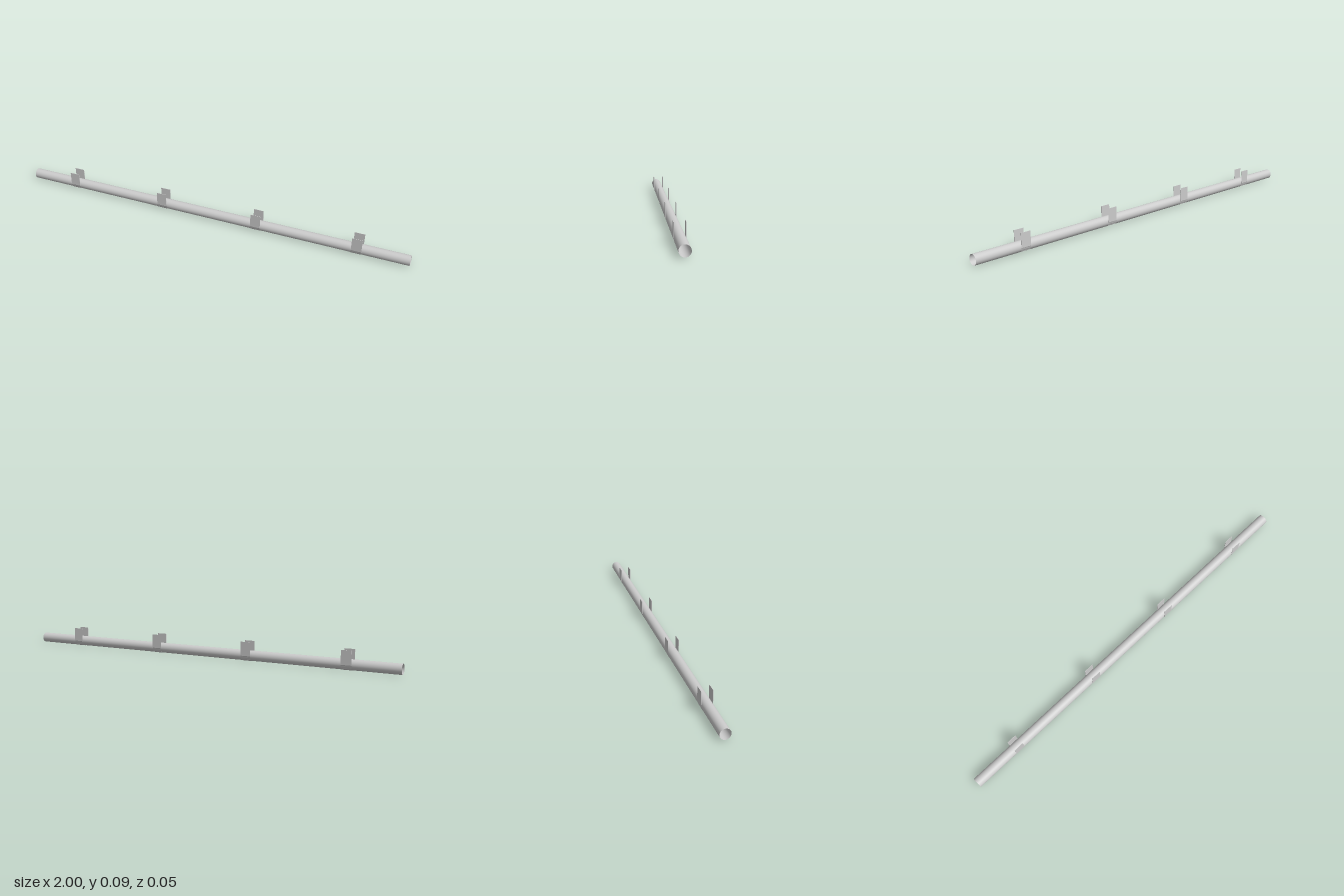
import * as THREE from 'three';

const LENGTH = 2, RADIUS = 0.025, AXIS_Y = 0.0265;
const STRAP_OUTER = 0.0265, STRAP_INNER = 0.0247, STRAP_TOP = 0.095, STRAP_WIDTH = 0.05;

// Four-sided half ring below the pipe, from one side to the other
function halfRing(radius) {
  return Array.from({ length: 5 }, (_, i) => {
    const a = Math.PI + (i * Math.PI) / 4;
    return new THREE.Vector2(radius * Math.cos(a), AXIS_Y + radius * Math.sin(a));
  });
}

// U-shaped strap profile, extruded along the pipe
function strapGeometry() {
  const shape = new THREE.Shape([
    new THREE.Vector2(-STRAP_OUTER, STRAP_TOP),
    ...halfRing(STRAP_OUTER),
    new THREE.Vector2(STRAP_OUTER, STRAP_TOP),
    new THREE.Vector2(STRAP_INNER, STRAP_TOP),
    ...halfRing(STRAP_INNER).reverse(),
    new THREE.Vector2(-STRAP_INNER, STRAP_TOP),
  ]);
  const geometry = new THREE.ExtrudeGeometry(shape, { depth: STRAP_WIDTH, bevelEnabled: false });
  geometry.translate(0, 0, -STRAP_WIDTH / 2);
  geometry.rotateY(Math.PI / 2);
  return geometry;
}

export function createModel() {
  const group = new THREE.Group();
  group.name = 'pipeWithHangers';

  // Open-ended pipe
  const pipeMaterial = new THREE.MeshStandardMaterial({ color: 0xcccccc, side: THREE.DoubleSide });
  const pipe = new THREE.Mesh(
    new THREE.CylinderGeometry(RADIUS, RADIUS, LENGTH, 32, 1, true).rotateZ(Math.PI / 2),
    pipeMaterial
  );
  pipe.name = 'pipe';
  pipe.position.y = AXIS_Y;
  group.add(pipe);

  // Four evenly spaced hanger straps
  const strapMaterial = new THREE.MeshStandardMaterial({ color: 0xcccccc, flatShading: true });
  const geometry = strapGeometry();
  [-0.75, -0.25, 0.25, 0.75].forEach((x, i) => {
    const strap = new THREE.Mesh(geometry, strapMaterial);
    strap.name = `hangerStrap${i + 1}`;
    strap.position.x = x;
    group.add(strap);
  });
  return group;
}
